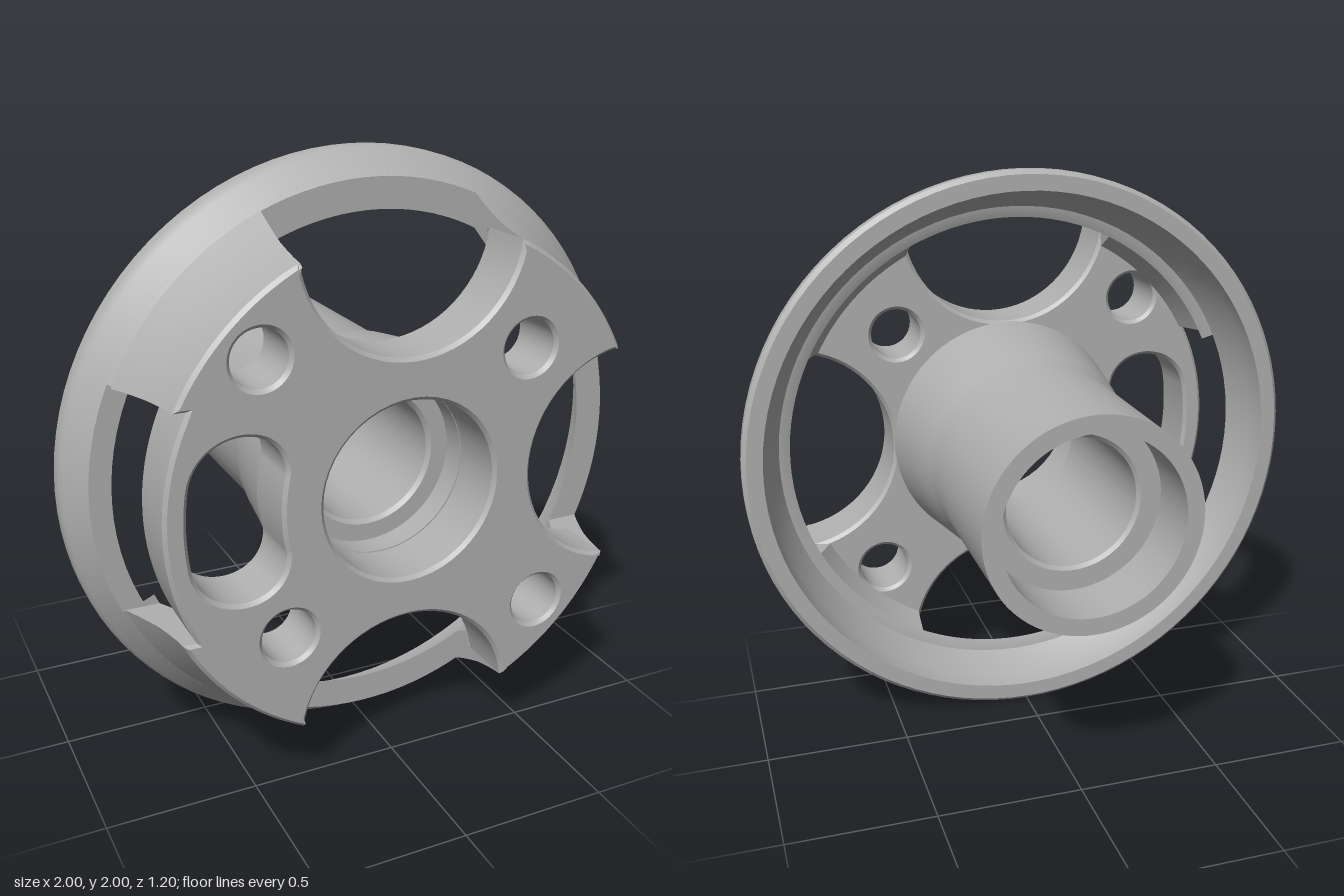
import * as THREE from 'three';
import { toCreasedNormals } from 'three/addons/utils/BufferGeometryUtils.js';

const HALF = 0.365; // half width of the four side openings
const FACE_R = 0.835; // radius of the front plate
const v2 = (list) => list.map(([r, z]) => new THREE.Vector2(r, z));

// Outer curve of the flared wall, from the openings' floor to the front
const wallCurve = [[0.92, 0.305], [0.9, 0.35], [0.88, 0.4], [0.862, 0.45], [0.85, 0.5], [0.84, 0.55], [FACE_R, 0.588]];

// Closed (radius, z) profile turned about the z axis
function turned(profile, start = 0, length = Math.PI * 2) {
  const g = new THREE.LatheGeometry(v2([...profile, profile[0]]), 96, start, length);
  return toCreasedNormals(g.rotateX(Math.PI / 2), 0.5);
}

// Wall segment between two openings, its ends cut parallel to the axes
function wallSegment(k) {
  const profile = [...wallCurve, [0.8, 0.588], [0.78, 0.385], [0.82, 0.305]];
  const n = profile.length, steps = 20, pos = [], idx = [];
  for (let i = 0; i <= steps; i++) {
    for (const [r, z] of profile) {
      const cut = Math.asin(HALF / r);
      const a = k * Math.PI / 2 + cut + (Math.PI / 2 - 2 * cut) * i / steps;
      pos.push(r * Math.cos(a), r * Math.sin(a), z);
    }
  }
  for (let i = 0; i < steps; i++) {
    for (let j = 0; j < n; j++) {
      const a = i * n + j, d = i * n + (j + 1) % n;
      idx.push(a, a + n, d, d, a + n, d + n);
    }
  }
  const end = steps * n;
  for (const [a, b, c] of THREE.ShapeUtils.triangulateShape(v2(profile), [])) {
    idx.push(a, b, c, end + a, end + c, end + b);
  }
  const g = new THREE.BufferGeometry();
  g.setAttribute('position', new THREE.Float32BufferAttribute(pos, 3));
  g.setIndex(idx);
  return toCreasedNormals(g, 0.5);
}

function circleHole(x, y, r) {
  return new THREE.Path().absarc(x, y, r, 0, Math.PI * 2, true);
}

// Front plate: three round scallops, a shallow notch on one side, and holes
function plateGeometry() {
  const pts = [];
  const arc = (cx, cy, r, a0, a1, steps) => {
    for (let i = 0; i <= steps; i++) {
      const a = a0 + (a1 - a0) * i / steps;
      pts.push(new THREE.Vector2(cx + r * Math.cos(a), cy + r * Math.sin(a)));
    }
  };
  const cut = Math.asin(HALF / FACE_R), scallopR = 0.368, centre = 0.8;
  const reach = Math.acos((FACE_R * Math.cos(cut) - centre) / scallopR);
  for (let k = 0; k < 4; k++) {
    const t = k * Math.PI / 2;
    if (k === 2) {
      const c = Math.asin(HALF / 0.797);
      arc(0, 0, 0.797, t - c, t + c, 20);
    } else {
      arc(centre * Math.cos(t), centre * Math.sin(t), scallopR, t + Math.PI * 2 - reach, t + reach, 32);
    }
    arc(0, 0, FACE_R, t + cut, t + Math.PI / 2 - cut, 20);
  }
  const shape = new THREE.Shape(pts);

  // Bolt holes and centre bore
  for (const [x, y] of [[-0.49, 0.49], [0.408, 0.41], [-0.412, -0.412], [0.487, -0.487]]) {
    shape.holes.push(circleHole(x, y, 0.09));
  }
  shape.holes.push(circleHole(0, 0, 0.295));

  // Kidney slot
  const slot = new THREE.Path();
  slot.moveTo(-0.415, 0.13);
  slot.bezierCurveTo(-0.415, 0.31, -0.68, 0.31, -0.715, 0.13);
  slot.quadraticCurveTo(-0.735, 0, -0.715, -0.13);
  slot.bezierCurveTo(-0.68, -0.31, -0.415, -0.31, -0.415, -0.13);
  slot.quadraticCurveTo(-0.445, 0, -0.415, 0.13);
  shape.holes.push(slot);

  const bevel = 0.012;
  const g = new THREE.ExtrudeGeometry(shape, {
    depth: 0.215 - 2 * bevel, curveSegments: 24,
    bevelEnabled: true, bevelThickness: bevel, bevelSize: bevel, bevelOffset: -bevel, bevelSegments: 1,
  });
  g.translate(0, 0, 0.385 + bevel);
  return toCreasedNormals(g, 0.5);
}

export function createModel() {
  const metal = new THREE.MeshStandardMaterial({ color: 0xb0b0b0 });
  metal.name = 'grey metal';
  const model = new THREE.Group();
  model.name = 'flangedHub';
  const add = (name, geometry) => {
    const mesh = new THREE.Mesh(geometry, metal);
    mesh.name = name;
    mesh.position.y = 1;
    model.add(mesh);
  };

  // Rim ring
  add('rim', turned([
    [0.93, 0.13], [0.985, 0.13], [1, 0.145], [1, 0.18], [0.997, 0.195], [0.985, 0.212],
    [0.957, 0.25], [0.93, 0.29], [0.86, 0.29], [0.915, 0.2],
  ]));

  // Raised ledge under the openings, left out at the notched side
  const gap = 0.415;
  add('rimLedge', turned(
    [[0.86, 0.29], [0.93, 0.29], [0.92, 0.305], [0.82, 0.305]],
    Math.PI * 1.5 + gap, Math.PI * 2 - gap * 2,
  ));

  // Flared wall
  for (let k = 0; k < 4; k++) add('wallSegment' + (k + 1), wallSegment(k));

  add('frontPlate', plateGeometry());

  // Hollow shaft with an inner lip and a flared root
  add('shaft', turned([
    [0.305, -0.6], [0.363, -0.6], [0.363, 0], [0.375, 0.06], [0.39, 0.13], [0.408, 0.25], [0.43, 0.39],
    [0.295, 0.39], [0.295, 0.3], [0.235, 0.3], [0.222, 0.287], [0.222, -0.37], [0.235, -0.38], [0.305, -0.38],
  ]));

  return model;
}
